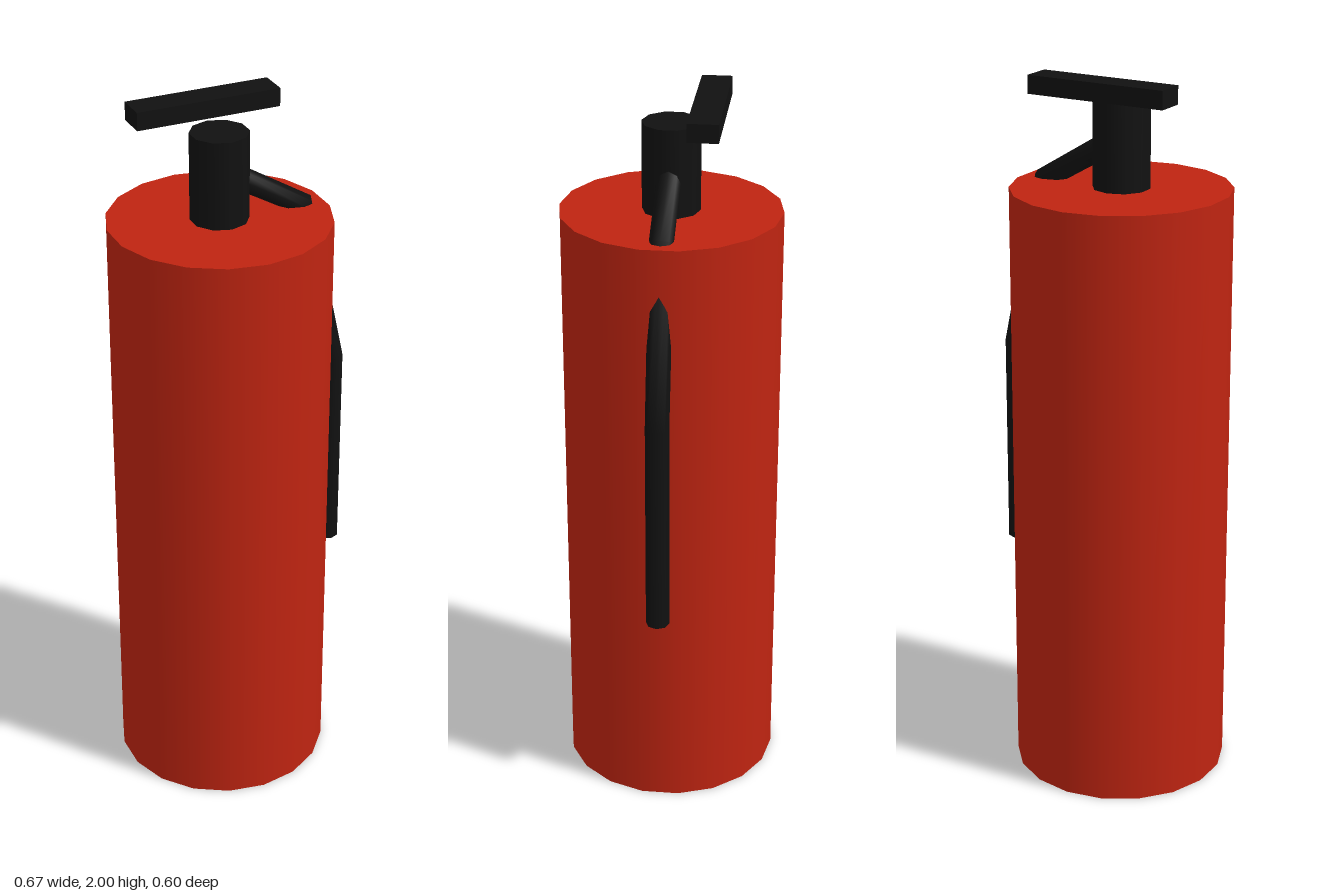
import * as THREE from 'three';

const AXIS_X = -0.039; // the vessel sits slightly to the side, balancing the hose

// Bends a capped cylinder along a polyline lying in the z = 0 plane
function bentHose(points, radius, sides) {
  const last = points.length - 1;
  const geo = new THREE.CylinderGeometry(radius, radius, last, sides, last);
  const pos = geo.attributes.position;
  const dir = (i) => points[i].clone().sub(points[i + 1]).normalize();
  for (let v = 0; v < pos.count; v++) {
    const ring = Math.round(last / 2 - pos.getY(v));
    const up = dir(Math.max(ring - 1, 0)).add(dir(Math.min(ring, last - 1))).normalize();
    const x = pos.getX(v);
    pos.setXY(v, points[ring].x + x * up.y, points[ring].y - x * up.x);
  }
  geo.computeVertexNormals();
  // Keep shading continuous across the lengthwise seam
  const nor = geo.attributes.normal;
  for (let r = 0; r <= last; r++) {
    const a = r * (sides + 1), b = a + sides;
    const n = new THREE.Vector3().fromBufferAttribute(nor, a)
      .add(new THREE.Vector3().fromBufferAttribute(nor, b)).normalize();
    nor.setXYZ(a, n.x, n.y, n.z);
    nor.setXYZ(b, n.x, n.y, n.z);
  }
  return geo;
}

export function createModel() {
  const red = new THREE.MeshStandardMaterial({ color: 0xbf2411 });
  red.name = 'red paint';
  const black = new THREE.MeshStandardMaterial({ color: 0x111111 });
  black.name = 'black rubber';

  const model = new THREE.Group();
  model.name = 'fireExtinguisher';
  const add = (name, geometry, material, x, y, z) => {
    const mesh = new THREE.Mesh(geometry, material);
    mesh.name = name;
    mesh.position.set(x, y, z);
    model.add(mesh);
  };

  // Pressure vessel
  add('tank', new THREE.CylinderGeometry(0.301, 0.301, 1.695, 18), red, AXIS_X, 0.8475, 0);

  // Valve neck on top
  add('valve', new THREE.CylinderGeometry(0.079, 0.079, 0.25, 10), black, AXIS_X, 1.812, 0);

  // Grip bar floating behind the valve
  add('handle', new THREE.BoxGeometry(0.403, 0.05, 0.082), black, AXIS_X, 1.975, -0.101);

  // Hose from the valve, through the shoulder and down the side
  const path = [[-0.039, 1.833], [0.2, 1.69], [0.302, 1.21], [0.302, 0.61]]
    .map(([x, y]) => new THREE.Vector2(x, y));
  add('hose', bentHose(path, 0.0325, 8), black, 0, 0, 0);

  return model;
}
